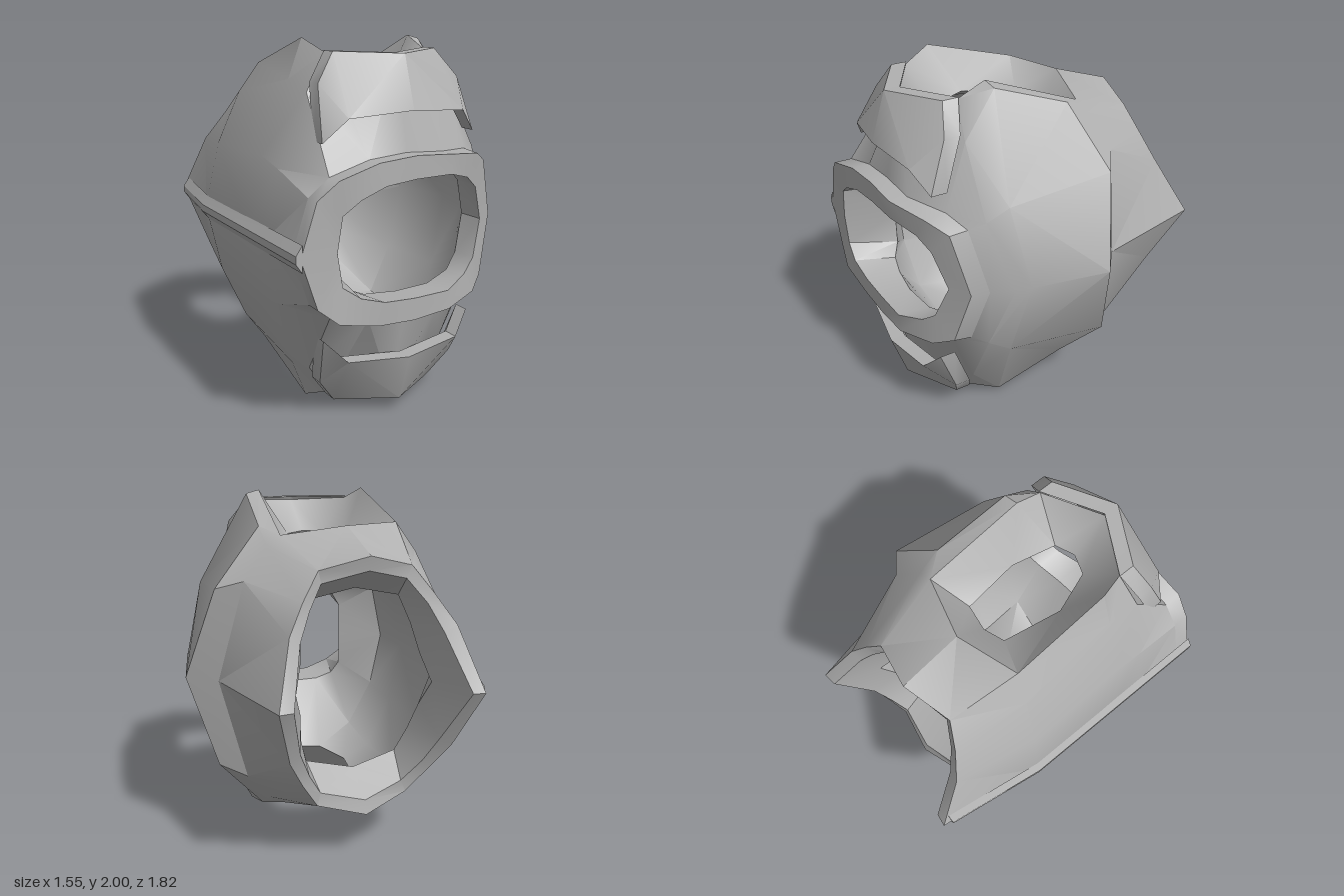
import * as THREE from 'three';
import { toCreasedNormals } from 'three/addons/utils/BufferGeometryUtils.js';

const grey = new THREE.MeshStandardMaterial({ color: 0xb0b0b0, side: THREE.DoubleSide });
grey.name = 'plain grey';

// Collects the two triangles of a quad, split along its shorter diagonal
function quad(out, a, b, c, d) {
  const gap = (p, q) => Math.hypot(p[0] - q[0], p[1] - q[1], p[2] - q[2]);
  if (gap(a, c) <= gap(b, d)) out.push(...a, ...b, ...c, ...a, ...c, ...d);
  else out.push(...a, ...b, ...d, ...b, ...c, ...d);
}

// Skins neighbouring cross-sections; keep(i, j) may leave quads open
function loft(sections, closed = false, keep = () => true) {
  const out = [];
  for (let i = 0; i < sections.length - 1; i++) {
    const s = sections[i], t = sections[i + 1], n = s.length;
    for (let j = 0; j < (closed ? n : n - 1); j++) {
      const k = (j + 1) % n;
      if (keep(i, j)) quad(out, s[j], s[k], t[k], t[j]);
    }
  }
  return out;
}

// The lower half repeats the upper half about y = 1
function mirrorY(p) {
  const out = [];
  for (let i = 0; i < p.length; i += 9)
    for (const v of [0, 2, 1]) out.push(p[i + v * 3], 2 - p[i + v * 3 + 1], p[i + v * 3 + 2]);
  return out;
}

function mesh(name, positions, crease) {
  const g = new THREE.BufferGeometry();
  g.setAttribute('position', new THREE.Float32BufferAttribute(positions, 3));
  const m = new THREE.Mesh(toCreasedNormals(g, crease), grey);
  m.name = name;
  return m;
}

// Upper half arcs, each running from the -x side over the top to the +x side
const ringInner = [[-.55, 1, .89], [-.52, 1.18, .89], [-.42, 1.25, .9], [-.27, 1.3, .89], [-.08, 1.315, .88],
  [.14, 1.315, .87], [.3, 1.27, .8], [.39, 1.2, .76], [.47, 1, .71]];
const ringOuter = [[-.75, 1, .89], [-.66, 1.27, .89], [-.55, 1.36, .91], [-.31, 1.42, .89], [-.08, 1.435, .88],
  [.15, 1.42, .87], [.38, 1.39, .78], [.49, 1.33, .7], [.59, 1, .64]];
const ringBack = [[-.75, 1, .8], [-.66, 1.27, .8], [-.55, 1.36, .81], [-.31, 1.42, .79], [-.08, 1.435, .78],
  [.15, 1.42, .77], [.38, 1.4, .66], [.5, 1.34, .6], [.61, 1, .54]];
const brow = [[-.755, 1, .5], [-.67, 1.36, .5], [-.52, 1.74, .53], [-.39, 1.93, .49], [-.085, 1.91, .67],
  [.22, 1.93, .49], [.35, 1.75, .52], [.55, 1.38, .52], [.67, 1, .42]];
const crown = [[-.755, 1, .3], [-.67, 1.4, .3], [-.52, 1.79, .33], [-.44, 2, .33], [-.08, 1.8, .6],
  [.22, 2, .33], [.3, 1.98, .32], [.58, 1.45, .4], [.69, 1, .33]];
const panelEdge = [[-.755, 1, -.3], [-.68, 1.38, -.27], [-.55, 1.68, -.24], [-.44, 1.84, -.21], [-.1, 1.84, -.32],
  [.25, 1.79, -.22], [.34, 1.83, -.1], [.62, 1.51, -.2], [.78, 1, -.11]];
// Step down behind the raised side panel
const panelFoot = [...panelEdge.slice(0, 6), [.33, 1.74, -.23], [.48, 1.56, -.3], [.62, 1, -.24]];
const rearOuter = [[-.67, 1, -.91], [-.58, 1.34, -.73], [-.48, 1.5, -.65], [-.37, 1.65, -.59], [-.1, 1.72, -.67],
  [.17, 1.65, -.62], [.27, 1.5, -.67], [.36, 1.34, -.73], [.47, 1, -.91]];
const rearInner = [[-.6, 1, -.9], [-.51, 1.3, -.72], [-.44, 1.45, -.65], [-.34, 1.58, -.59], [-.1, 1.64, -.65],
  [.15, 1.58, -.61], [.23, 1.45, -.66], [.3, 1.3, -.72], [.39, 1, -.9]];
// Lips narrow the rear and front openings before the wider cavity
const rearLip = [[-.49, 1, -.63], [-.45, 1.15, -.55], [-.42, 1.31, -.48], [-.37, 1.46, -.42], [-.1, 1.52, -.45],
  [.17, 1.46, -.42], [.22, 1.31, -.48], [.245, 1.14, -.55], [.295, 1, -.63]];
const cavityBack = [[-.67, 1, -.3], [-.59, 1.36, -.27], [-.45, 1.62, -.2], [-.23, 1.71, -.12], [-.1, 1.66, -.15],
  [.055, 1.63, -.12], [.3, 1.66, -.15], [.48, 1.4, -.22], [.58, 1, -.22]];
const cavityMid = [[-.68, 1, .2], [-.61, 1.36, .2], [-.46, 1.66, .2], [-.295, 1.74, .2], [-.1, 1.72, .2],
  [.09, 1.65, .2], [.3, 1.7, .2], [.52, 1.4, .2], [.64, 1, .15]];
const cavityFront = [[-.67, 1, .5], [-.6, 1.33, .5], [-.44, 1.6, .48], [-.21, 1.73, .43], [-.1, 1.73, .47],
  [.01, 1.72, .43], [.29, 1.6, .45], [.47, 1.34, .45], [.58, 1, .4]];
const frontLip = [[-.41, 1, .62], [-.41, 1.2, .62], [-.37, 1.28, .66], [-.27, 1.32, .68], [-.08, 1.33, .7],
  [.14, 1.33, .68], [.3, 1.29, .64], [.39, 1.21, .6], [.46, 1, .56]];

export function createModel() {
  const model = new THREE.Group();
  model.name = 'hollowShell';
  const middle = j => j === 3 || j === 4;

  // Front ring with its inward lip
  const ring = loft([frontLip, ringInner, ringOuter, ringBack]);
  model.add(mesh('frontRing', [...ring, ...mirrorY(ring)], 0.6));

  // Outer shell, open at the top and bottom
  const shell = loft([ringBack, brow, crown, panelEdge, panelFoot, rearOuter], false,
    (i, j) => !(middle(j) && (i === 1 || i === 2)));
  model.add(mesh('outerShell', [...shell, ...mirrorY(shell)], 0.52));

  // Rear rim with its inward lip
  const rear = loft([rearOuter, rearInner, rearLip]);
  model.add(mesh('rearRim', [...rear, ...mirrorY(rear)], 0.6));

  // Inner cavity, open above and below
  const cavity = loft([rearLip, cavityBack, cavityMid, cavityFront, frontLip], false,
    (i, j) => !(middle(j) && (i === 1 || i === 2)));
  model.add(mesh('innerCavity', [...cavity, ...mirrorY(cavity)], 1));

  // Funnels joining the top and bottom openings to the cavity
  const rim = [brow[3], crown[3], panelEdge[3], panelEdge[4], panelEdge[5], crown[5], brow[5], brow[4]];
  const throat = [cavityFront[3], cavityMid[3], cavityBack[3], cavityBack[4], cavityBack[5],
    cavityMid[5], cavityFront[5], cavityFront[4]];
  const funnel = loft([rim, throat], true);
  model.add(mesh('topFunnel', funnel, 0.9), mesh('bottomFunnel', mirrorY(funnel), 0.9));

  // Folded front plates: upper half width, y, z, then lower half width, y, z
  const half = [[.425, 1.79, .63, .46, 1.51, .735], [.31, 1.94, .575, .345, 1.63, .795], [0, 1.93, .755, 0, 1.655, .845]];
  const fold = (side, [tw, ty, tz, bw, by, bz]) => {
    const top = -.085 + side * tw, low = -.085 + side * bw;
    return [[top, ty, tz], [low, by, bz], [low, by, bz - .09], [top, ty, tz - .09]];
  };
  const columns = [...half.map(h => fold(-1, h)), fold(1, half[1]), fold(1, half[0])];
  const plate = loft(columns, true);
  quad(plate, ...[...columns[0]].reverse());
  quad(plate, ...columns[4]);
  model.add(mesh('upperFrontPlate', plate, 0.6), mesh('lowerFrontPlate', mirrorY(plate), 0.6));

  // Narrow seam ridge along the -x side
  const stations = [[-.74, .89], [-.74, -.3], [-.655, -.86]].map(([x, z]) =>
    [[x, 1.07, z], [x - .035, 1.02, z], [x - .035, .98, z], [x, .93, z]]);
  const seam = loft(stations, true);
  quad(seam, ...stations[0]);
  quad(seam, ...[...stations[2]].reverse());
  model.add(mesh('sideSeam', seam, 0.3));

  return model;
}
